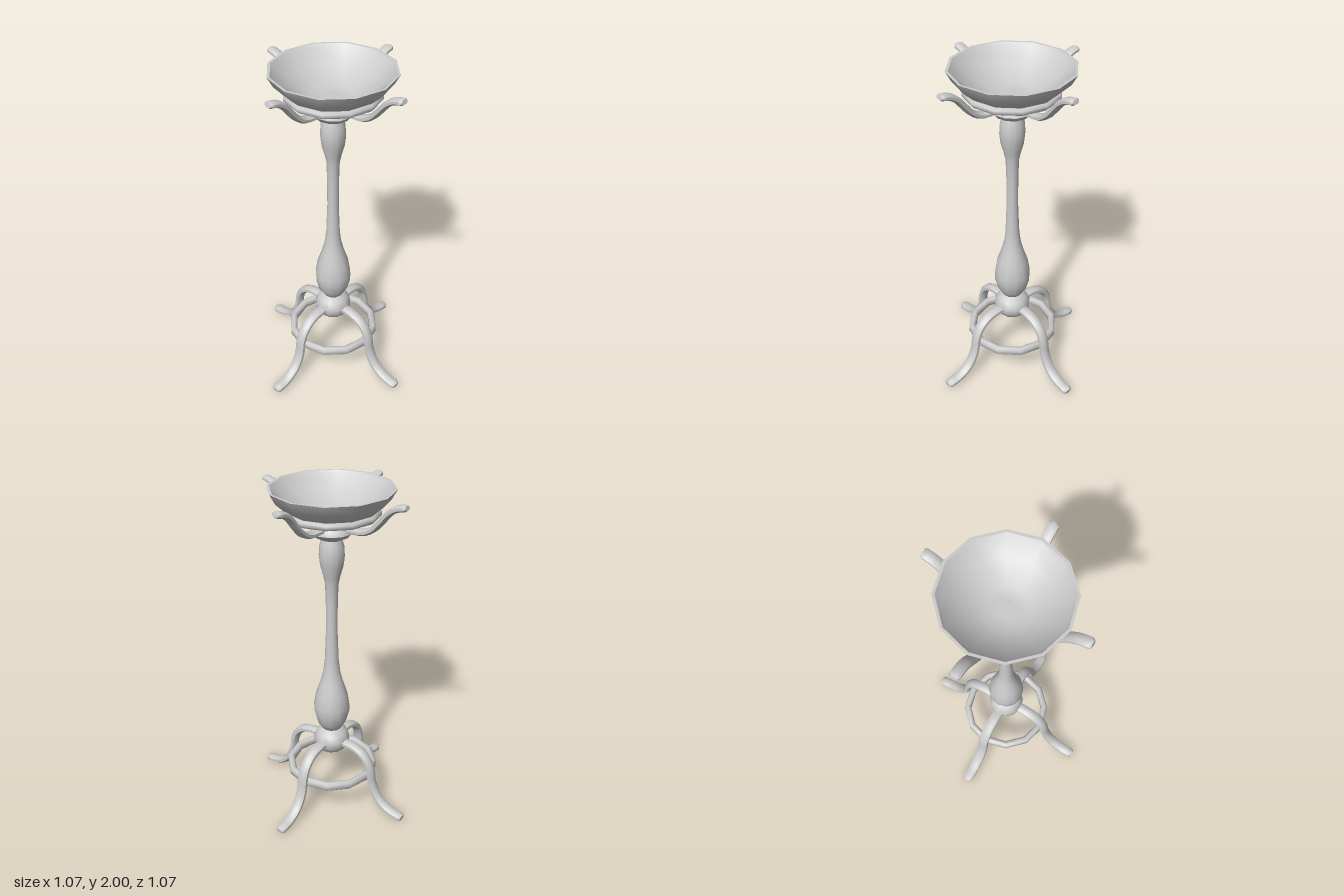
import * as THREE from 'three';
import { toCreasedNormals } from 'three/addons/utils/BufferGeometryUtils.js';

const material = new THREE.MeshStandardMaterial({ color: 0xcccccc, side: THREE.DoubleSide });

function addMesh(parent, name, geometry) {
  const mesh = new THREE.Mesh(geometry, material);
  mesh.name = name;
  parent.add(mesh);
  return mesh;
}

// Turned part: [radius, height] pairs, listed from bottom to top
function turned(points, crease = 0.9) {
  const profile = points.map(([r, y]) => new THREE.Vector2(r, y));
  return toCreasedNormals(new THREE.LatheGeometry(profile, 12), crease);
}

// Hoop with a chamfered section
function hoop(inner, outer, y0, y1, c) {
  return turned([
    [inner + c, y0], [outer - c, y0], [outer, y0 + c], [outer, y1 - c],
    [outer - c, y1], [inner + c, y1], [inner, y1 - c], [inner, y0 + c], [inner + c, y0],
  ]);
}

// Curved limb in the xy plane with an octagonal oval section and a bevelled tip
function limb(points, halfWidth, halfThick, steps = 22) {
  const curve = new THREE.CatmullRomCurve3(points.map(([x, y]) => new THREE.Vector3(x, y, 0)));
  const sides = 8, pos = [], index = [];
  const ring = (t, scale) => {
    const p = curve.getPointAt(t), d = curve.getTangentAt(t);
    for (let j = 0; j < sides; j++) {
      const a = ((j + 0.5) / sides) * Math.PI * 2;
      const n = Math.cos(a) * halfThick * scale * 1.08, w = Math.sin(a) * halfWidth * scale * 1.08;
      pos.push(p.x - d.y * n, p.y + d.x * n, w);
    }
  };
  for (let i = 0; i < steps; i++) ring((i / steps) * 0.975, 1);
  ring(0.975, 1);
  ring(1, 0.7);
  const rings = steps + 2;
  for (let i = 0; i < rings - 1; i++) {
    for (let j = 0; j < sides; j++) {
      const a = i * sides + j, b = i * sides + ((j + 1) % sides);
      index.push(a, a + sides, b, b, a + sides, b + sides);
    }
  }
  // Flat end caps
  const last = (rings - 1) * sides;
  for (let j = 1; j < sides - 1; j++) {
    index.push(0, j, j + 1, last, last + j + 1, last + j);
  }
  // Wind the faces outwards
  for (let i = 0; i < index.length; i += 3) {
    [index[i + 1], index[i + 2]] = [index[i + 2], index[i + 1]];
  }
  const g = new THREE.BufferGeometry();
  g.setAttribute('position', new THREE.Float32BufferAttribute(pos, 3));
  g.setIndex(index);
  return toCreasedNormals(g, 0.9);
}

export function createModel() {
  const model = new THREE.Group();
  model.name = 'pedestalBowlStand';

  // Turned column and the knobs at its ends
  addMesh(model, 'lowerKnob', turned([
    [0, 0.32], [0.05, 0.325], [0.085, 0.35], [0.108, 0.39], [0.11, 0.425],
    [0.092, 0.465], [0.06, 0.492], [0, 0.5],
  ]));
  addMesh(model, 'column', turned([
    [0, 0.485], [0.06, 0.495], [0.088, 0.54], [0.107, 0.61], [0.108, 0.66], [0.095, 0.74],
    [0.068, 0.82], [0.05, 0.89], [0.041, 0.97], [0.034, 1.15], [0.034, 1.32], [0.038, 1.45],
    [0.048, 1.5], [0.065, 1.56], [0.072, 1.62], [0.068, 1.68], [0.055, 1.72], [0, 1.73],
  ]));
  addMesh(model, 'upperKnob', turned([
    [0, 1.713], [0.06, 1.718], [0.1, 1.738], [0.12, 1.763], [0.112, 1.79], [0.08, 1.808],
    [0.045, 1.818], [0, 1.822],
  ]));

  // Bowl with a rounded lip and a flat floor
  addMesh(model, 'bowl', turned([
    [0, 1.825], [0.12, 1.828], [0.19, 1.85], [0.26, 1.895], [0.315, 1.945], [0.345, 2],
    [0.33, 2], [0.317, 1.985], [0.24, 1.92], [0.123, 1.85], [0.045, 1.847], [0, 1.852],
  ], 0.6));

  // Hoops tying the limbs together
  addMesh(model, 'bowlHoop', hoop(0.225, 0.266, 1.85, 1.886, 0.01));
  addMesh(model, 'legHoop', hoop(0.238, 0.28, 0.198, 0.254, 0.012));

  // Four legs and four bowl arms, one of each along every axis
  const legShape = limb([
    [0.06, 0.405], [0.15, 0.407], [0.215, 0.388], [0.268, 0.34], [0.296, 0.27], [0.304, 0.21],
    [0.328, 0.14], [0.372, 0.08], [0.44, 0.04], [0.53, 0.024],
  ], 0.031, 0.022);
  const armShape = limb([
    [0.06, 1.793], [0.14, 1.79], [0.21, 1.797], [0.265, 1.825], [0.315, 1.878], [0.36, 1.93],
    [0.405, 1.96], [0.46, 1.974],
  ], 0.029, 0.017);
  for (let i = 0; i < 4; i++) {
    addMesh(model, 'leg' + (i + 1), legShape).rotation.y = (i * Math.PI) / 2;
    addMesh(model, 'arm' + (i + 1), armShape).rotation.y = (i * Math.PI) / 2;
  }
  return model;
}
